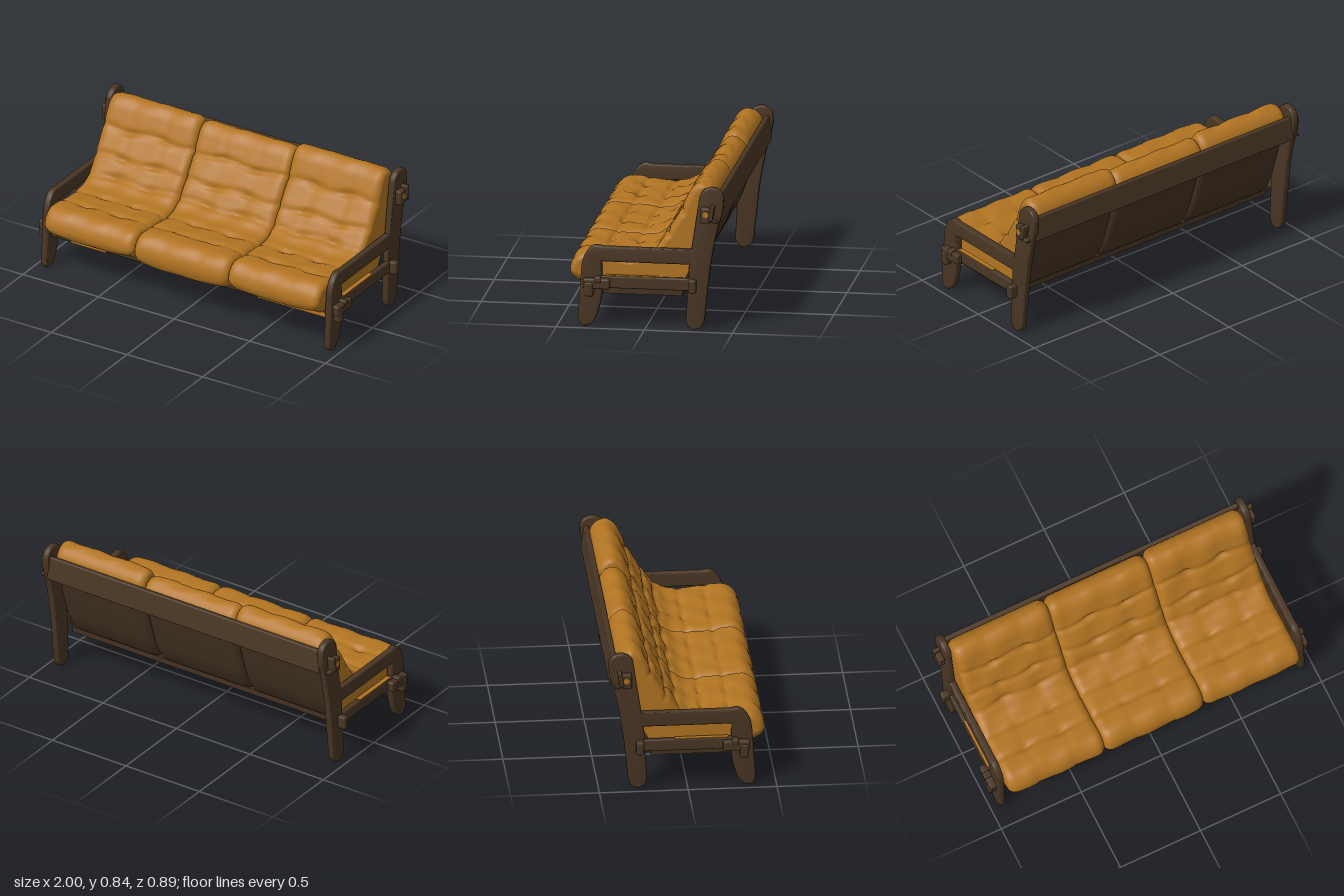
import * as THREE from 'three';
import { toCreasedNormals } from 'three/addons/utils/BufferGeometryUtils.js';
import { RoundedBoxGeometry } from 'three/addons/geometries/RoundedBoxGeometry.js';

const mat = (name, color) => {
  const m = new THREE.MeshStandardMaterial({ color });
  m.name = name;
  return m;
};
const leather = mat('tan leather', 0xb17422);
const wood = mat('dark wood', 0x493624);
const backing = mat('dark backing', 0x443222);

function mesh(name, geometry, material, parent) {
  const m = new THREE.Mesh(geometry, material);
  m.name = name;
  parent.add(m);
  return m;
}

// softened wooden block: size, centre and tilt about x
function block(name, [w, h, d], [x, y, z], parent, tilt = 0) {
  const r = Math.min(w, h, d) * 0.25;
  const m = mesh(name, new RoundedBoxGeometry(w, h, d, 2, r), wood, parent);
  m.position.set(x, y, z);
  m.rotation.x = tilt;
}

// thin leather-coloured plate
function plate(name, size, [x, y, z], parent) {
  mesh(name, new THREE.BoxGeometry(...size), leather, parent).position.set(x, y, z);
}

// both legs, the armrest and the tall rear post, drawn as (z, y)
function frameGeometry() {
  const s = new THREE.Shape();
  s.moveTo(0.385, 0.05);
  s.lineTo(0.365, 0.34);
  s.bezierCurveTo(0.36, 0.41, 0.32, 0.47, 0.275, 0.47);
  s.lineTo(0.24, 0.463);
  s.lineTo(-0.258, 0.462);
  s.lineTo(-0.302, 0.755);
  s.bezierCurveTo(-0.308, 0.845, -0.435, 0.85, -0.443, 0.765);
  s.quadraticCurveTo(-0.444, 0.69, -0.42, 0.63);
  s.quadraticCurveTo(-0.385, 0.5, -0.362, 0.33);
  s.lineTo(-0.333, 0.06);
  s.bezierCurveTo(-0.325, -0.02, -0.23, -0.02, -0.228, 0.06);
  s.lineTo(-0.245, 0.375);
  s.lineTo(0.25, 0.375);
  s.lineTo(0.245, 0.2);
  s.quadraticCurveTo(0.26, 0.1, 0.285, 0.045);
  s.bezierCurveTo(0.31, -0.012, 0.385, -0.02, 0.385, 0.05);
  const g = new THREE.ExtrudeGeometry(s, {
    depth: 0.022, bevelThickness: 0.009, bevelSize: 0.009, bevelOffset: -0.009,
    bevelSegments: 3, curveSegments: 14,
  });
  g.translate(0, 0, -0.011);
  g.rotateY(-Math.PI / 2);
  return toCreasedNormals(g, 0.7);
}

// cushion side profile (z, y): over the seat, up the back, down behind and under
const profile = [
  [0.442, 0.3], [0.425, 0.365], [0.375, 0.407], [0.29, 0.407], [0.2, 0.397], [0.1, 0.393],
  [0.02, 0.4], [-0.045, 0.45], [-0.1, 0.53], [-0.15, 0.605], [-0.195, 0.68], [-0.225, 0.745],
  [-0.256, 0.8], [-0.305, 0.833], [-0.36, 0.815], [-0.395, 0.76], [-0.375, 0.65], [-0.32, 0.45],
  [-0.26, 0.29], [-0.2, 0.215], [0, 0.205], [0.2, 0.205], [0.34, 0.205], [0.42, 0.235],
];
const creases = [[0.25, 0.4], [0.1, 0.393], [-0.04, 0.44], [-0.105, 0.535], [-0.19, 0.675]];
const bump = (d, w) => Math.exp(-(d * d) / (w * w));

function cushionGeometry(x0, x1, lift, rise, seed) {
  const curve = new THREE.CatmullRomCurve3(
    profile.map(([z, y]) => new THREE.Vector3(z, y, 0)), true, 'centripetal');
  const NX = 40, NV = 200, R = 0.05;
  const loop = [];
  for (let j = 0; j < NV; j++) {
    const p = curve.getPointAt(j / NV), t = curve.getTangentAt(j / NV);
    loop.push({ z: p.x, y: p.y, nz: t.y, ny: -t.x });
  }
  const pos = [];
  for (let i = 0; i <= NX; i++) {
    const u = (1 - Math.cos(Math.PI * i / NX)) / 2;
    const x = x0 + (x1 - x0) * u;
    const e = Math.min(u, 1 - u) * (x1 - x0);
    const edge = e < R ? R - Math.sqrt(R * R - (R - e) ** 2) : 0;
    for (const { z, y, nz, ny } of loop) {
      // stitched rows with deeper button tufts and faint seams between them
      let dent = 0;
      creases.forEach(([cz, cy], k) => {
        const wave = 0.011 * Math.sin(u * 11 + k * 2 + seed);
        const d = Math.hypot(z - cz, y - cy - wave);
        const tuft = bump(u - 0.32, 0.07) + bump(u - 0.68, 0.07);
        dent += bump(d, 0.018) * (0.011 + 0.014 * tuft);
      });
      const front = nz * 0.7 + ny * 0.7 > 0.3 ? 1 : 0;
      dent += front * 0.004 * (bump(u - 0.32, 0.02) + bump(u - 0.68, 0.02));
      dent -= front * 0.003 * Math.sin(u * 17 + z * 25 + seed);
      const off = -edge * 0.75 - dent;
      // uneven top edge, and a front lip that sags in the middle
      const raise = lift * THREE.MathUtils.smoothstep(y, 0.6, 0.8);
      const lip = THREE.MathUtils.smoothstep(z, 0.3, 0.4) * THREE.MathUtils.smoothstep(-y, -0.33, -0.22);
      const sag = lip * (rise + 0.025 * (2 * u - 1) ** 4);
      pos.push(x, y + ny * off + raise + sag, z + nz * off);
    }
  }
  // leather over the front and top, backing behind and underneath
  const faces = [[], []];
  for (let j = 0; j < NV; j++) {
    const p = loop[j], k = (j + 1) % NV;
    const hidden = (p.nz < -0.3 && p.y < 0.74) || (p.ny < -0.85 && p.z < 0.33);
    for (let i = 0; i < NX; i++) {
      const a = i * NV + j, b = a + NV, c = (i + 1) * NV + k, d = i * NV + k;
      faces[hidden ? 1 : 0].push(a, b, c, a, c, d);
    }
  }
  // flat end faces
  const outline = loop.map((_, j) => new THREE.Vector2(pos[j * 3 + 2], pos[j * 3 + 1]));
  const last = NX * NV;
  for (const [a, b, c] of THREE.ShapeUtils.triangulateShape(outline, []))
    faces[0].push(a, b, c, last + a, last + c, last + b);
  const g = new THREE.BufferGeometry();
  g.setAttribute('position', new THREE.Float32BufferAttribute(pos, 3));
  g.setIndex([...faces[0], ...faces[1]]);
  g.addGroup(0, faces[0].length, 0);
  g.addGroup(faces[0].length, faces[1].length, 1);
  g.computeVertexNormals();
  return g;
}

export function createModel() {
  const model = new THREE.Group();
  model.name = 'sofa';

  // three joined seat and back cushions
  const cushions = [
    ['rightCushion', -0.91, -0.313, -0.008, 0.02, 0],
    ['middleCushion', -0.313, 0.306, -0.022, 0, 2],
    ['leftCushion', 0.306, 0.905, 0.004, 0.015, 4],
  ];
  for (const [name, ...c] of cushions)
    mesh(name, cushionGeometry(...c), [leather, backing], model);

  // side frames with through tenons and wedges
  const frame = frameGeometry();
  for (const side of [-1, 1]) {
    const g = new THREE.Group();
    g.name = side < 0 ? 'rightSide' : 'leftSide';
    model.add(g);
    mesh('sideFrame', frame, wood, g).position.x = side * 0.935;
    block('sideRail', [0.034, 0.07, 0.52], [side * 0.941, 0.259, 0], g);
    plate('railTopTrim', [0.028, 0.004, 0.3], [side * 0.941, 0.295, 0.08], g);
    const x = side * 0.97;
    block('frontTenon', [0.045, 0.06, 0.15], [x, 0.253, 0.275], g);
    block('frontPeg', [0.055, 0.085, 0.05], [x, 0.222, 0.318], g);
    block('frontWedge', [0.055, 0.035, 0.038], [x, 0.277, 0.268], g);
    block('rearTenon', [0.06, 0.078, 0.043], [x, 0.257, -0.268], g);
    block('topTenon', [0.04, 0.09, 0.055], [x, 0.67, -0.343], g);
    block('topWedge', [0.055, 0.09, 0.025], [x, 0.685, -0.378], g, -0.15);
    block('topWedgeTip', [0.03, 0.018, 0.085], [x, 0.645, -0.37], g, -0.3);
    const spot = mesh('tenonSpot', new THREE.CylinderGeometry(0.018, 0.018, 0.006, 16), leather, g);
    spot.rotation.z = Math.PI / 2;
    spot.position.set(side * 0.99, 0.677, -0.346);
  }

  // cross members and the deck under the seat
  block('backBoard', [1.85, 0.14, 0.03], [0, 0.7, -0.415], model, 0.13);
  block('frontRail', [1.85, 0.065, 0.06], [0, 0.222, 0.31], model);
  plate('frontRailTrimRight', [0.23, 0.03, 0.005], [-0.665, 0.207, 0.34], model);
  plate('frontRailTrimLeft', [0.45, 0.03, 0.005], [0.675, 0.207, 0.34], model);
  mesh('seatDeck', new THREE.BoxGeometry(1.82, 0.035, 0.49), backing, model)
    .position.set(0, 0.2, 0.042);
  return model;
}
